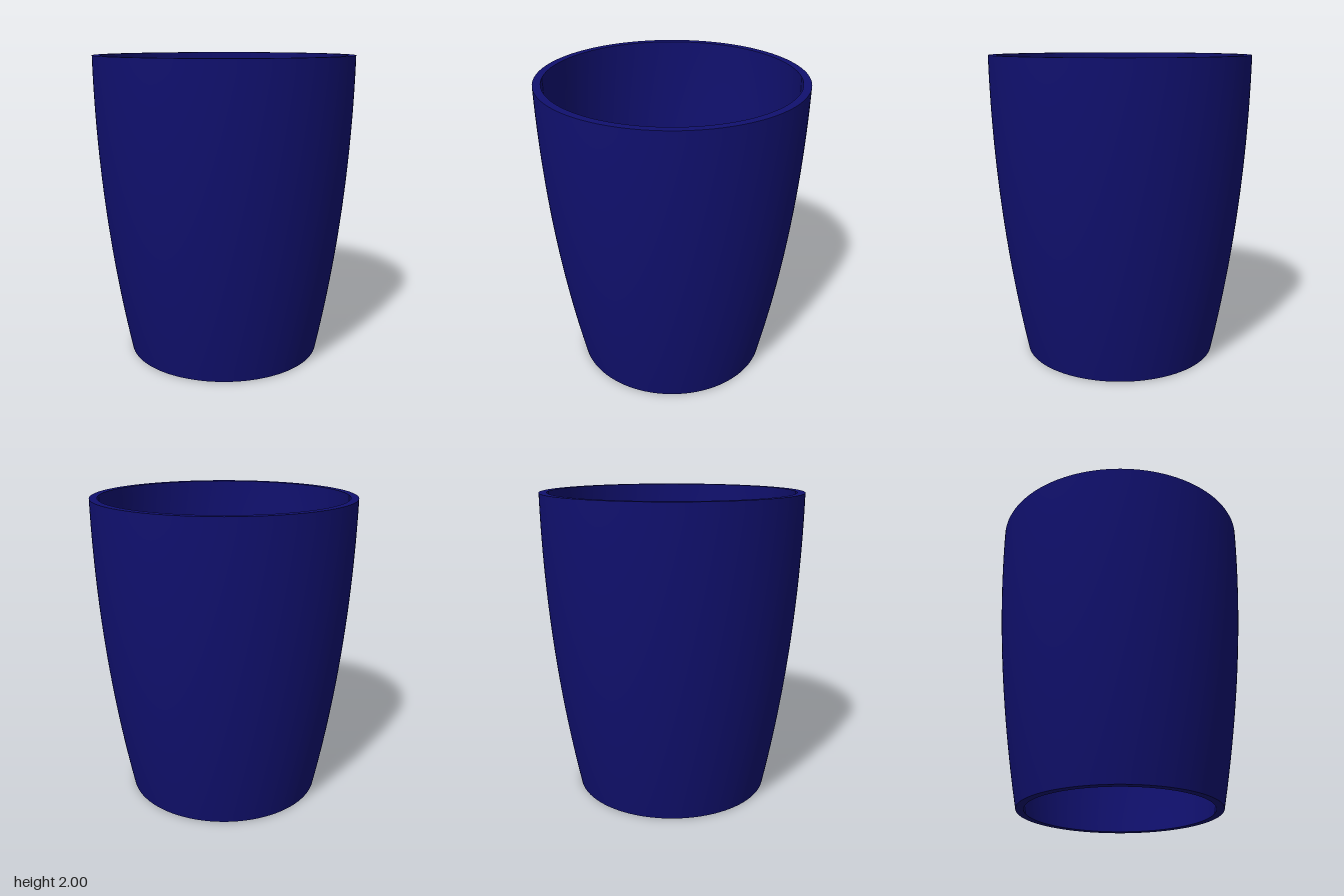
import * as THREE from 'three';
import { toCreasedNormals } from 'three/addons/utils/BufferGeometryUtils.js';

const HEIGHT = 2, RIM_RADIUS = 0.85, TAPER = 0.2, WALL = 0.05, STEPS = 32;

// Outer radius: a parabola, vertical at the rim and narrowing to the foot
const radiusAt = (y) => RIM_RADIUS - TAPER * (1 - y / HEIGHT) ** 2;

export function createModel() {
  const group = new THREE.Group();
  group.name = 'openCup';

  // Closed wall section: up the outside, over the rim, down the inside, across the foot
  const outer = [], inner = [];
  for (let i = 0; i <= STEPS; i++) {
    const y = (HEIGHT * i) / STEPS;
    outer.push(new THREE.Vector2(radiusAt(y), y));
    inner.unshift(new THREE.Vector2(radiusAt(y) - WALL, y));
  }
  const profile = [...outer, ...inner, outer[0].clone()];

  // Smooth wall with crisp rim and foot edges, open at both ends
  const geometry = toCreasedNormals(new THREE.LatheGeometry(profile, 128), Math.PI / 5);
  const wall = new THREE.Mesh(geometry, new THREE.MeshStandardMaterial({ color: 0x10106e }));
  wall.name = 'cupWall';
  group.add(wall);
  return group;
}
